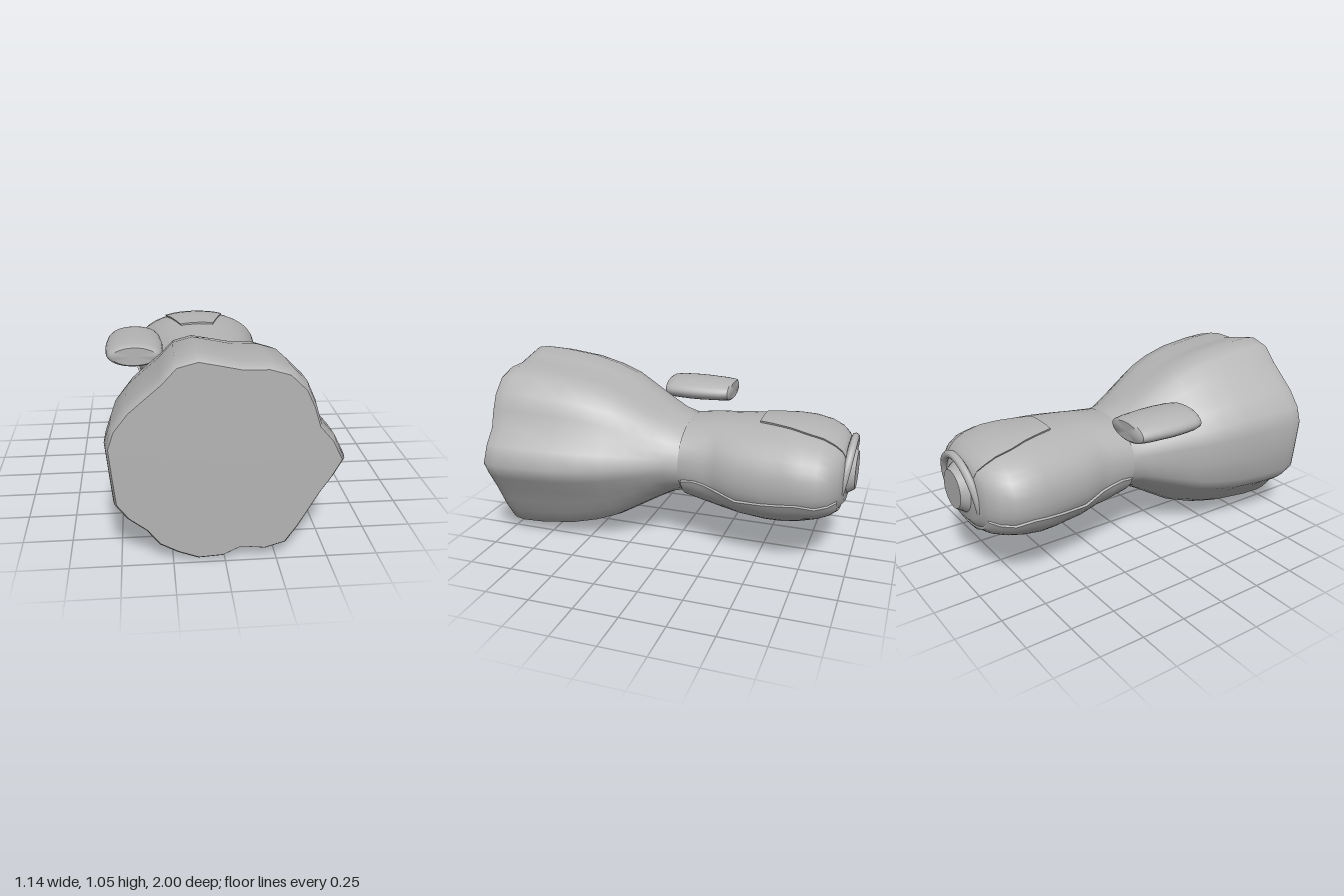
import * as THREE from 'three';
import { toCreasedNormals } from 'three/addons/utils/BufferGeometryUtils.js';

const grey = new THREE.MeshStandardMaterial({ color: 0xb4b4b4, side: THREE.DoubleSide });
grey.name = 'grey';

// Linear lookup of a row [key, ...values] in a table sorted by falling key
function lookup(table, key) {
  let i = 0;
  while (i < table.length - 2 && key < table[i + 1][0]) i++;
  const a = table[i], b = table[i + 1];
  const t = THREE.MathUtils.clamp((key - a[0]) / (b[0] - a[0]), 0, 1);
  return a.map((v, k) => v + (b[k] - v) * t);
}

// Surface from rows of points; closed rows wrap around
function loft(rows, closed) {
  const n = rows[0].length, index = [];
  for (let i = 0; i < rows.length - 1; i++) {
    for (let j = 0; j < (closed ? n : n - 1); j++) {
      const a = i * n + j, b = i * n + (j + 1) % n;
      index.push(a, a + n, b, b, a + n, b + n);
    }
  }
  const g = new THREE.BufferGeometry();
  g.setAttribute('position', new THREE.Float32BufferAttribute(rows.flat(2), 3));
  g.setIndex(index);
  g.computeVertexNormals();
  return g;
}

// Torso rows: z, right x, left x, bottom y, top y
const torsoRows = [
  [-0.06, -0.32, 0.28, 0.31, 0.74], [-0.2, -0.32, 0.28, 0.27, 0.76],
  [-0.27, -0.325, 0.3, 0.26, 0.765], [-0.4, -0.37, 0.35, 0.247, 0.772],
  [-0.55, -0.385, 0.365, 0.235, 0.78], [-0.65, -0.402, 0.378, 0.24, 0.782],
  [-0.74, -0.41, 0.387, 0.26, 0.775], [-0.83, -0.395, 0.372, 0.285, 0.755],
  [-0.89, -0.35, 0.325, 0.305, 0.73], [-0.93, -0.29, 0.265, 0.33, 0.70],
  [-0.955, -0.21, 0.19, 0.36, 0.67], [-0.96, -0.01, -0.01, 0.52, 0.52],
];

function torsoPoint(angle, z, offset = 0) {
  const [, x0, x1, y0, y1] = lookup(torsoRows, z);
  const c = Math.cos(angle), s = Math.sin(angle);
  const round = (v) => Math.sign(v) * Math.abs(v) ** 0.9;
  const rx = Math.max((x1 - x0) / 2 + offset, 0), ry = Math.max((y1 - y0) / 2 + offset, 0);
  return [(x0 + x1) / 2 + rx * round(c), (y0 + y1) / 2 + ry * round(s), z];
}

// Angle at which the torso outline reaches a given sine or cosine
const unround = (v) => Math.sign(v) * Math.abs(THREE.MathUtils.clamp(v, -1, 1)) ** (1 / 0.9);

// Thin cloth panel on the torso, its rim folded down onto the body
function panel(zs, range, steps, thickness) {
  const rows = zs.map((z) => {
    const [a0, a1] = range(z), row = [torsoPoint(a0, z, -0.01)];
    for (let j = 0; j <= steps; j++) row.push(torsoPoint(a0 + (a1 - a0) * j / steps, z, thickness));
    row.push(torsoPoint(a1, z, -0.01));
    return row;
  });
  const rim = (z) => {
    const [a0, a1] = range(z), row = [torsoPoint(a0, z, -0.01)];
    for (let j = 0; j <= steps; j++) row.push(torsoPoint(a0 + (a1 - a0) * j / steps, z, -0.01));
    row.push(torsoPoint(a1, z, -0.01));
    return row;
  };
  return toCreasedNormals(loft([rim(zs[0]), ...rows, rim(zs[zs.length - 1])], false), 0.8);
}

export function createModel() {
  const group = new THREE.Group();
  const add = (name, geometry) => {
    const mesh = new THREE.Mesh(geometry, grey);
    mesh.name = name;
    group.add(mesh);
    return mesh;
  };

  // Flared skirt: a wavy hem shrinking to an oval waist
  const hem = [
    [0.57, 0.52], [0.52, 0.62], [0.45, 0.7], [0.42, 0.8], [0.38, 0.89], [0.3, 0.97],
    [0.2, 1.0], [0.08, 1.0], [-0.01, 1.02], [-0.13, 1.047], [-0.23, 1.02], [-0.3, 0.94],
    [-0.38, 0.87], [-0.46, 0.8], [-0.53, 0.71], [-0.56, 0.62], [-0.545, 0.47], [-0.53, 0.32],
    [-0.47, 0.24], [-0.38, 0.17], [-0.32, 0.09], [-0.23, 0.04], [-0.13, 0.002], [-0.01, 0.01],
    [0.08, 0.055], [0.2, 0.04], [0.3, 0.07], [0.36, 0.16], [0.41, 0.25], [0.46, 0.34], [0.52, 0.43],
  ];
  // z, flare from waist (0) to hem (1)
  const flare = [
    [0.995, 0.92], [0.975, 0.97], [0.92, 1], [0.8, 0.985], [0.6, 0.91], [0.45, 0.79],
    [0.33, 0.645], [0.2, 0.4], [0.1, 0.21], [0.02, 0.07], [-0.06, 0],
  ];
  const skirtRows = flare.map(([z, t]) => hem.map(([x, y]) => {
    const a = Math.atan2(y - 0.525, x);
    const wx = -0.02 + 0.3 * Math.cos(a), wy = 0.525 + 0.215 * Math.sin(a);
    return [wx + (x - wx) * t, wy + (y - wy) * t, z];
  }));
  add('skirt', loft(skirtRows, true));
  const centre = hem.map(() => [0, 0.525, 1]);
  add('skirtBase', loft([centre, skirtRows[0]], true));

  // Torso with rounded shoulders
  const torso = torsoRows.map(([z]) =>
    Array.from({ length: 36 }, (_, j) => torsoPoint(j / 36 * Math.PI * 2, z)));
  add('torso', loft(torso, true));

  // Tapered collar flap on the upper side
  const flapEdges = [[-0.47, -0.12, 0.08], [-0.74, -0.2, 0.16], [-0.88, -0.2, 0.16], [-0.95, -0.17, 0.14]];
  add('collarFlap', panel([-0.47, -0.55, -0.65, -0.74, -0.83, -0.89, -0.93, -0.95], (z) => {
    const [, l, r] = lookup(flapEdges, z), [, x0, x1] = lookup(torsoRows, z);
    return [r, l].map((x) => Math.acos(unround((x - (x0 + x1) / 2) / ((x1 - x0) / 2))));
  }, 8, 0.01));

  // Two jacket panels on the underside, parted at the waist
  const sideSeam = [[-0.08, 0.45], [-0.15, 0.46], [-0.4, 0.4], [-0.55, 0.41], [-0.75, 0.44], [-0.85, 0.42], [-0.95, 0.44]];
  const panelZ = [-0.075, -0.14, -0.2, -0.27, -0.4, -0.55, -0.65, -0.74, -0.83, -0.89, -0.93];
  for (const side of [-1, 1]) {
    add(side < 0 ? 'rightJacketPanel' : 'leftJacketPanel', panel(panelZ, (z) => {
      const [, , , y0, y1] = lookup(torsoRows, z);
      const seam = Math.asin(unround((lookup(sideSeam, z)[1] - (y0 + y1) / 2) / ((y1 - y0) / 2)));
      const gap = Math.max(0, 0.16 * (1 + (z + 0.08) / 0.22));
      const inner = -Math.PI / 2 + gap;
      return side > 0 ? [inner, seam] : [-Math.PI - seam, -Math.PI - inner];
    }, 10, 0.014));
  }

  // Tilted collar ring around the neck
  const ring = [];
  for (let i = 0; i < 40; i++) {
    const a = i / 40 * Math.PI * 2, c = Math.cos(a), s = Math.sin(a);
    ring.push(new THREE.Vector3(-0.01 + 0.195 * c, 0.5 + 0.205 * s, -0.932 - 0.04 * s - 0.012 * c * c));
  }
  add('collarRing', new THREE.TubeGeometry(new THREE.CatmullRomCurve3(ring, true), 48, 0.022, 8, true));

  // Neck stub with a flat end
  const neck = new THREE.CylinderGeometry(0.105, 0.155, 0.07, 24);
  neck.rotateX(-Math.PI / 2);
  neck.translate(-0.01, 0.525, -0.964);
  add('neck', toCreasedNormals(neck, 0.6));

  // Flattened oval pad floating beside the waist
  const padProfile = [[0, -0.19], [0.72, -0.19], [0.86, -0.18], [0.93, -0.13], [1, 0],
    [1, 0.07], [0.96, 0.16], [0.88, 0.2], [0.75, 0.213], [0, 0.213]];
  const pad = new THREE.LatheGeometry(padProfile.map(([r, y]) => new THREE.Vector2(r, y)), 32);
  pad.rotateX(Math.PI / 2);
  pad.scale(0.16, 0.067, 1);
  pad.translate(-0.415, 0.795, 0);
  add('sidePad', toCreasedNormals(pad, 0.7));

  return group;
}
